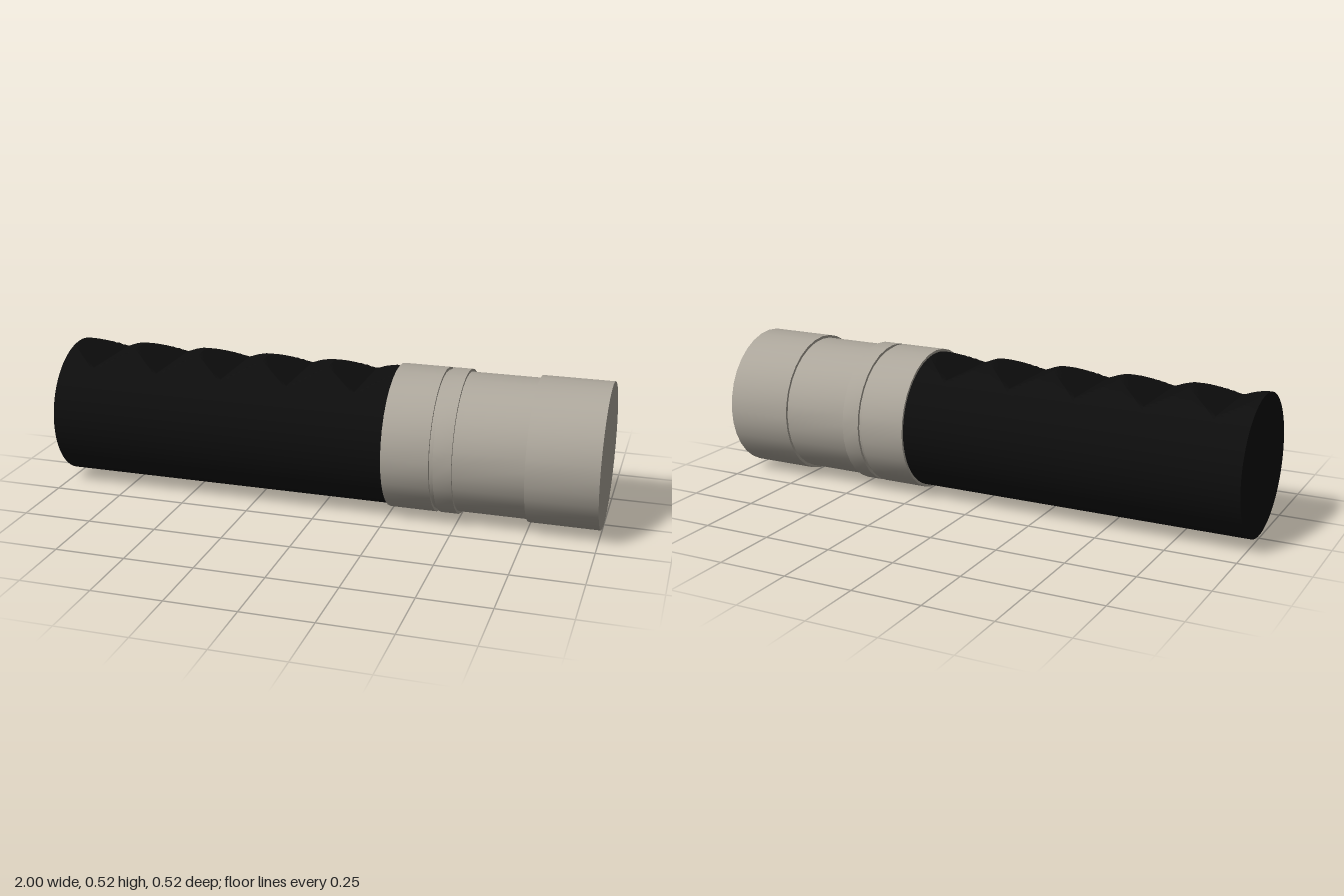
import * as THREE from 'three';
import { toCreasedNormals } from 'three/addons/utils/BufferGeometryUtils.js';

const AXIS_Y = 0.26;   // height of the handle's centre line
const GRIP_R = 0.25;
const COLLAR_R = 0.26;

// Solid of revolution along x from [x, radius] pairs
function turned(profile, sides) {
  const points = profile.map(([x, r]) => new THREE.Vector2(r, x));
  const geometry = new THREE.LatheGeometry(points, sides);
  geometry.rotateZ(-Math.PI / 2);
  return toCreasedNormals(geometry, 0.3);
}

// Cylinder along x whose top is cut by a row of V-shaped finger notches
function notchedGrip(x0, x1, notches, depth) {
  const length = x1 - x0;
  const geometry = new THREE.CylinderGeometry(GRIP_R, GRIP_R, length, 96, notches * 16);
  geometry.rotateZ(-Math.PI / 2).translate((x0 + x1) / 2, 0, 0);
  const pos = geometry.attributes.position;
  for (let i = 0; i < pos.count; i++) {
    const t = (pos.getX(i) - x0) / length * notches;
    const cut = 1 - 2 * Math.abs(t - Math.floor(t) - 0.5); // 0 on ridges, 1 in valleys
    pos.setY(i, Math.min(pos.getY(i), GRIP_R - depth * cut));
  }
  return toCreasedNormals(geometry, 0.25);
}

export function createModel() {
  const black = new THREE.MeshStandardMaterial({ name: 'blackRubber', color: 0x0d0d0d });
  const metal = new THREE.MeshStandardMaterial({ name: 'warmGreyMetal', color: 0xaca69b });
  const model = new THREE.Group();
  model.name = 'handle';

  const add = (name, geometry, material) => {
    const mesh = new THREE.Mesh(geometry, material);
    mesh.name = name;
    mesh.position.y = AXIS_Y;
    model.add(mesh);
  };

  // Rubber grip with five finger notches
  add('grip', notchedGrip(-1, 0.25, 5, 0.055), black);

  // Metal head: grooved collar, recessed neck and end cap
  add('head', turned([
    [0.25, 0], [0.25, COLLAR_R],
    [0.42, COLLAR_R], [0.42, GRIP_R], [0.435, GRIP_R], [0.435, COLLAR_R],
    [0.5, COLLAR_R], [0.5, GRIP_R],
    [0.75, GRIP_R], [0.75, COLLAR_R],
    [1, COLLAR_R], [1, 0],
  ], 32), metal);

  return model;
}
